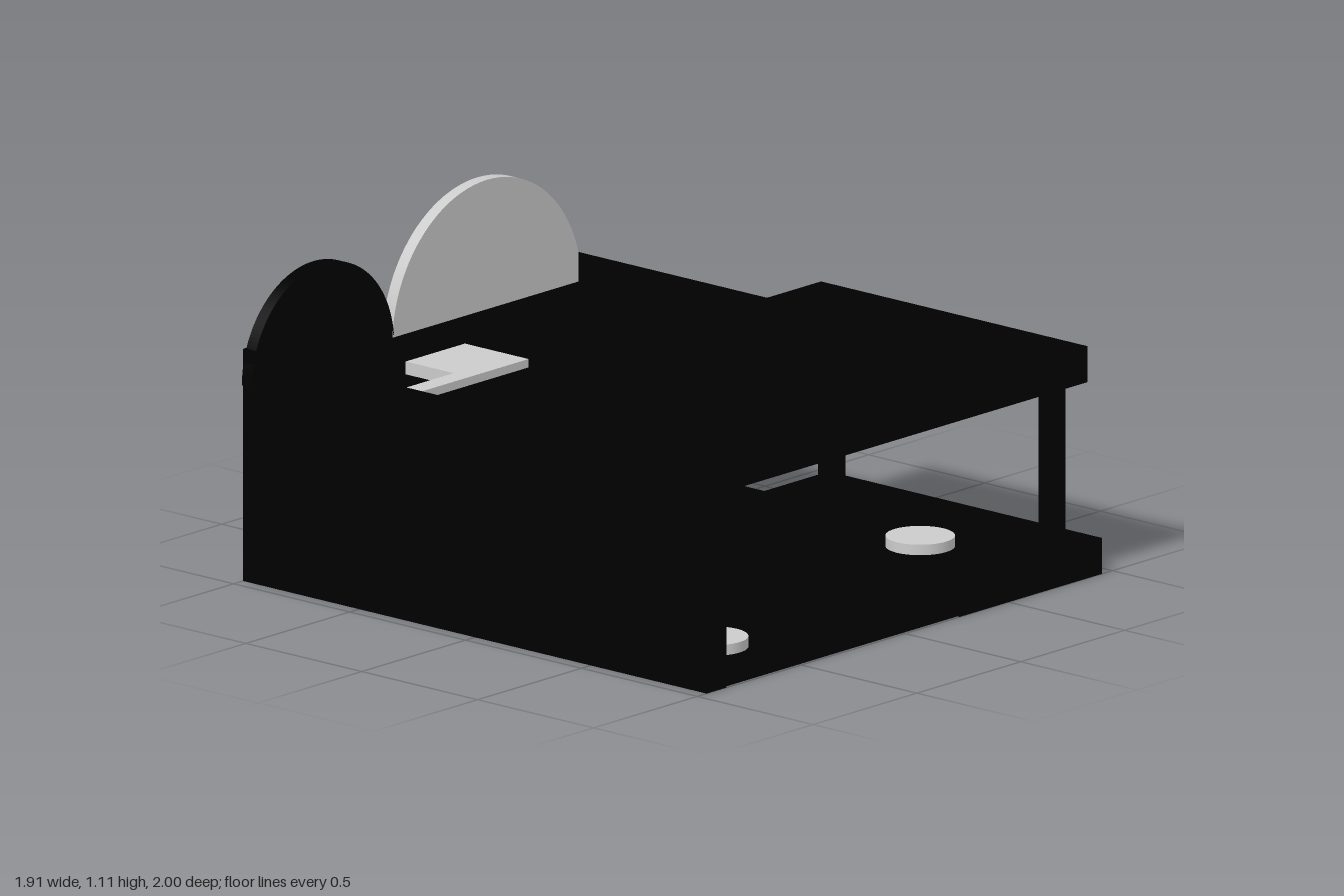
import * as THREE from 'three';

const black = new THREE.MeshStandardMaterial({ color: 0x000000 });
const grey = new THREE.MeshStandardMaterial({ color: 0xcccccc });

export function createModel() {
  const model = new THREE.Group();

  const add = (name, geometry, material) => {
    const mesh = new THREE.Mesh(geometry, material);
    mesh.name = name;
    model.add(mesh);
    return mesh;
  };

  // Box given by its lower and upper limits on each axis
  const box = (name, material, x0, x1, y0, y1, z0, z1) =>
    add(name, new THREE.BoxGeometry(x1 - x0, y1 - y0, z1 - z0), material)
      .position.set((x0 + x1) / 2, (y0 + y1) / 2, (z0 + z1) / 2);

  const disc = (name, x, z, r, y0, y1) =>
    add(name, new THREE.CylinderGeometry(r, r, y1 - y0, 64), grey).position.set(x, (y0 + y1) / 2, z);

  const rect = (x0, x1, y0, y1) => new THREE.Shape([
    new THREE.Vector2(x0, y0), new THREE.Vector2(x1, y0),
    new THREE.Vector2(x1, y1), new THREE.Vector2(x0, y1)]);

  const extrude = (shape, depth) =>
    new THREE.ExtrudeGeometry(shape, { depth, bevelEnabled: false, curveSegments: 40 });

  // Upright panel with round holes given as [x, y, radius]
  const panel = (name, material, x0, x1, y0, y1, z0, z1, holes) => {
    const shape = rect(x0, x1, y0, y1);
    for (const [x, y, r] of holes) shape.holes.push(new THREE.Path().absarc(x, y, r, 0, Math.PI * 2, true));
    add(name, extrude(shape, z1 - z0), material).position.z = z0;
  };

  // Horizontal L-shaped plate, notched at the back left corner
  const plate = (name, xMax, zNotch, xBack, zFront, y0, y1, opening) => {
    const outline = [[-0.955, zFront], [xMax, zFront], [xMax, zNotch], [xBack, zNotch], [xBack, -0.99], [-0.955, -0.99]];
    const shape = new THREE.Shape(outline.map(([x, z]) => new THREE.Vector2(x, -z)));
    if (opening) shape.holes.push(opening);
    const geometry = extrude(shape, y1 - y0);
    geometry.rotateX(-Math.PI / 2);
    add(name, geometry, black).position.y = y0;
  };

  // Thin rim standing along the front, side and notch edges of a plate
  const T = 0.01;
  const rim = (name, xFront, xMax, zNotch, xBack, y0, y1) => {
    box(name + 'Front', black, xFront, xMax, y0, y1, 1 - T, 1);
    box(name + 'Side', black, xMax - T, xMax, y0, y1, zNotch, 1 - T);
    box(name + 'Notch', black, xBack - T, xMax - T, y0, y1, zNotch, zNotch + T);
    box(name + 'BackSide', black, xBack - T, xBack, y0, y1, -1, zNotch);
  };

  // Floor with its curb, open at the entrance
  plate('floor', 0.945, -0.175, 0.635, 0.99, 0, 0.02);
  rim('curb', 0.265, 0.95, -0.18, 0.64, 0, 0.12);

  // Roof with parapet and stair opening
  plate('roof', 0.875, -0.145, 0.615, 0.99, 0.655, 0.68, rect(-0.86, -0.255, 0.395, 0.91));
  rim('parapet', -0.955, 0.88, -0.15, 0.62, 0.655, 0.775);
  box('parapetRight', black, -0.955, -0.945, 0.655, 0.775, -1, 0.99);
  box('parapetBack', black, -0.945, 0.61, 0.655, 0.775, -1, -0.99);

  // Walls
  box('rightWall', black, -0.955, -0.86, 0, 0.655, -1, 1);
  panel('backWall', black, -0.86, 0.62, 0, 0.655, -1, -0.91,
    [[0.28, 0.325, 0.222], [-0.065, 0.455, 0.113], [-0.75, 0.585, 0.065]]);
  panel('partition', grey, -0.86, -0.255, 0.02, 0.655, -0.395, -0.35, [[-0.415, 0.4, 0.12]]);

  // Half discs rising behind the roof
  for (const [name, x, r, material] of [['smallArch', -0.62, 0.343, black], ['largeArch', 0.17, 0.457, grey]]) {
    const half = new THREE.Shape().absarc(0, 0, r, 0, Math.PI);
    add(name, extrude(half, 0.043), material).position.set(x, 0.655, -0.998);
  }

  // Columns on the open side
  for (const z of [0.85, -0.1]) box('column', black, 0.81, 0.875, 0.02, 0.655, z, z + 0.06);

  // Round platforms on the floor
  disc('stage', -0.39, -0.16, 0.465, 0.02, 0.08);
  disc('frontPad', -0.575, 0.69, 0.112, 0.02, 0.055);
  disc('sidePad', 0.755, 0.39, 0.112, 0.02, 0.055);

  // Lower flight of floating steps along the back wall
  const rise = 0.045, run = 0.0655;
  for (let i = 0; i < 8; i++) {
    const x = 0.01 - i * run, y = 0.08 + i * rise;
    box('lowerStep', grey, x - run, x, y, y + 0.043, -0.91, -0.67);
  }

  // Corner landing, upper steps and top landing
  box('cornerLanding', grey, -0.86, -0.54, 0.44, 0.485, -0.91, -0.735);
  for (const i of [0, 2, 3, 4]) {
    const z = -0.735 + i * 0.068, y = 0.485 + i * rise;
    box('upperStep', grey, -0.86, -0.54, y, y + 0.043, z, z + 0.068);
  }
  box('topLanding', grey, -0.54, -0.255, 0.665, 0.708, -0.67, -0.395);

  return model;
}
